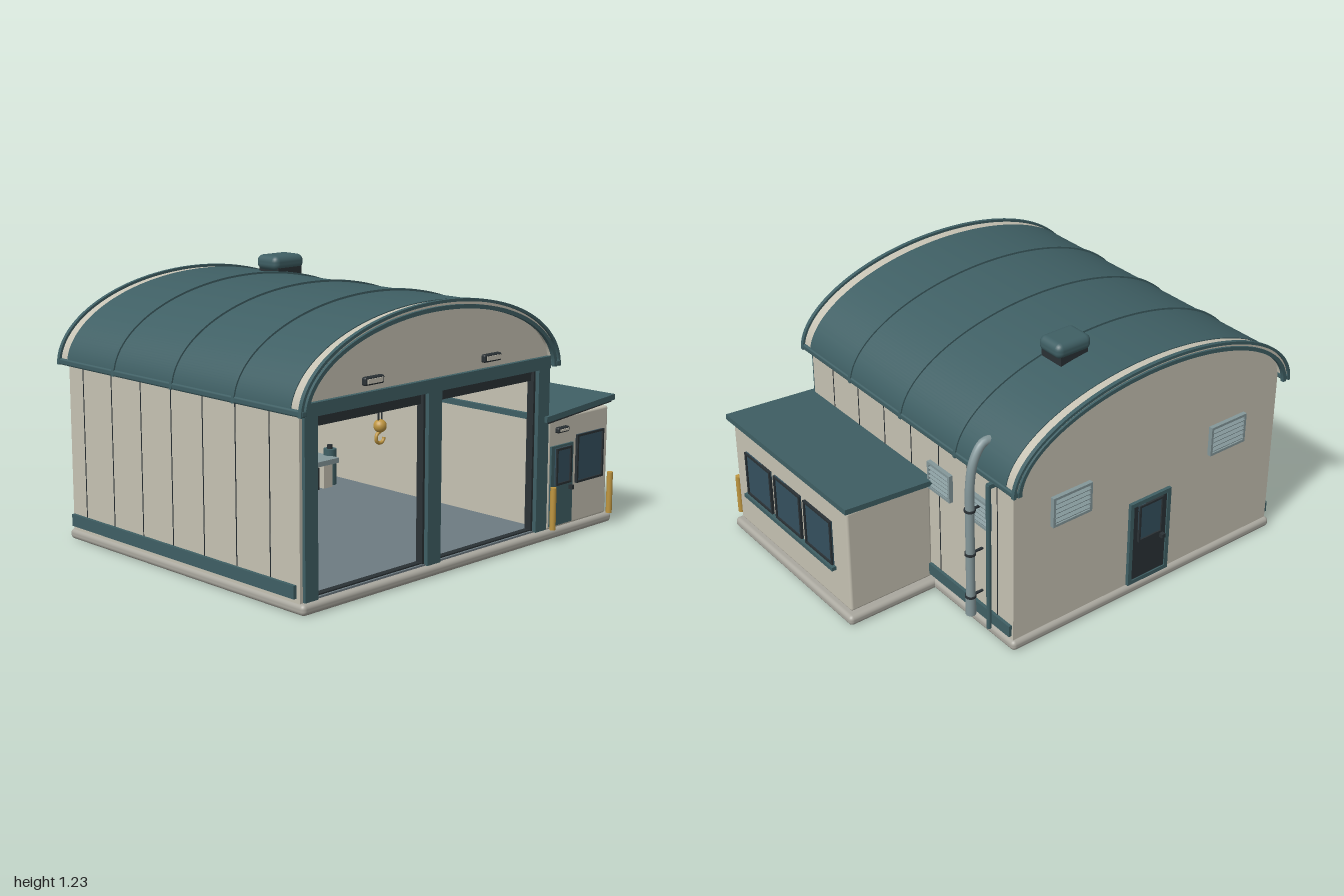
import * as THREE from 'three';
import { toCreasedNormals } from 'three/addons/utils/BufferGeometryUtils.js';
import { RoundedBoxGeometry } from 'three/addons/geometries/RoundedBoxGeometry.js';

const mat = (color) => new THREE.MeshStandardMaterial({ color });
const TEAL = mat(0x3f5f64), CREAM = mat(0xc6c2b3), DARK = mat(0x2a3135), YELLOW = mat(0xbf9640),
  GLASS = mat(0x34505e), STONE = mat(0xaaa89f), FLOOR = mat(0x6d7b82), PIPE = mat(0x84979a);
const CX = -0.215, EAVE = 0.8; // hall centre line and springing height of the arch

function add(parent, name, geometry, material) {
  const mesh = new THREE.Mesh(geometry, material);
  mesh.name = name;
  parent.add(mesh);
  return mesh;
}

// Box from its limits, optionally with rounded edges
function box(parent, name, material, x0, x1, y0, y1, z0, z1, r = 0) {
  const size = [x1 - x0, y1 - y0, z1 - z0];
  const geo = r ? new RoundedBoxGeometry(...size, 3, r) : new THREE.BoxGeometry(...size);
  const mesh = add(parent, name, geo, material);
  mesh.position.set((x0 + x1) / 2, (y0 + y1) / 2, (z0 + z1) / 2);
  return mesh;
}

function post(parent, name, material, x, z, y0, y1, r) {
  const mesh = add(parent, name, new THREE.CylinderGeometry(r, r, y1 - y0, 20), material);
  mesh.position.set(x, (y0 + y1) / 2, z);
  return mesh;
}

function extrude(parent, name, material, shape, z0, z1) {
  const geo = new THREE.ExtrudeGeometry(shape, { depth: z1 - z0, bevelEnabled: false, curveSegments: 56 });
  return add(parent, name, toCreasedNormals(geo.translate(0, 0, z0), 0.5), material);
}

// Half-elliptical band over the hall, a x b outside, t thick
function arch(parent, name, material, a, b, t, z0, z1) {
  const s = new THREE.Shape();
  s.absellipse(CX, EAVE, a, b, 0, Math.PI, false);
  s.absellipse(CX, EAVE, a - t, b - t, Math.PI, 0, true);
  return extrude(parent, name, material, s, z0, z1);
}

// Group whose local +z is turned outward from a wall
function mount(parent, name, x, y, z, turn = 0) {
  const g = new THREE.Group();
  g.name = name;
  g.position.set(x, y, z);
  g.rotation.y = turn;
  parent.add(g);
  return g;
}

function frame(g, w, h, t, depth, material) {
  const s = new THREE.Shape([[-w, -h], [w, -h], [w, h], [-w, h]].map(([x, y]) => new THREE.Vector2(x / 2, y / 2)));
  const [a, b] = [w / 2 - t, h / 2 - t];
  s.holes.push(new THREE.Path([[-a, -b], [-a, b], [a, b], [a, -b]].map(([x, y]) => new THREE.Vector2(x, y))));
  extrude(g, 'frame', material, s, -0.01, depth);
}

function windowPane(parent, x, y, z, w, h, turn = 0) {
  const g = mount(parent, 'window', x, y, z, turn);
  frame(g, w, h, 0.01, 0.013, DARK);
  box(g, 'glass', GLASS, -w / 2, w / 2, -h / 2, h / 2, -0.008, 0.006);
}

function louvre(parent, x, y, z, w, h, turn) {
  const g = mount(parent, 'louvreVent', x, y, z, turn);
  frame(g, w, h, 0.012, 0.02, PIPE);
  box(g, 'ventBack', DARK, -w / 2 + 0.01, w / 2 - 0.01, -h / 2 + 0.01, h / 2 - 0.01, -0.008, 0.003);
  for (let i = 0; i < 5; i++) {
    const yy = (i - 2) * (h - 0.03) / 5;
    box(g, 'slat', PIPE, -w / 2 + 0.01, w / 2 - 0.01, yy - 0.003, yy + 0.003, 0, 0.022).rotation.x = 0.5;
  }
}

function lamp(parent, x, y, z, w, h) {
  const g = mount(parent, 'wallLamp', x, y, z);
  box(g, 'lampHousing', DARK, -w / 2, w / 2, -h / 2, h / 2, -0.01, 0.02, 0.008);
  box(g, 'lampLens', CREAM, -w / 2 + 0.012, w / 2 - 0.012, -h / 2 + 0.008, h / 2 - 0.008, 0, 0.024);
}

function door(parent, x, y0, z, w, h, material, turn) {
  const g = mount(parent, 'door', x, y0 + h / 2, z, turn);
  box(g, 'doorLeaf', material, -w / 2, w / 2, -h / 2, h / 2, -0.01, 0.01);
  windowPane(g, 0, h * 0.24, 0.01, w * 0.7, h * 0.46);
  box(g, 'handle', DARK, w * 0.32, w * 0.42, -0.03, -0.01, 0, 0.03);
  return g;
}

function workbench(parent, x) {
  const g = mount(parent, 'workbench', x, 0, 0);
  box(g, 'benchTop', PIPE, -0.225, 0.225, 0.18, 0.205, -0.7, -0.42);
  for (const s of [-1, 1]) box(g, 'benchLeg', CREAM, s * 0.18 - 0.03, s * 0.18 + 0.03, 0.055, 0.18, -0.68, -0.45);
  box(g, 'drawerCabinet', DARK, -0.12, 0.11, 0.06, 0.17, -0.68, -0.44);
  for (let i = 0; i < 3; i++) box(g, 'drawer', PIPE, -0.1, 0.09, 0.075 + i * 0.032, 0.097 + i * 0.032, -0.45, -0.435);
  box(g, 'toolBoard', TEAL, -0.21, 0.19, 0.255, 0.445, -0.735, -0.715);
  for (let i = 0; i < 6; i++) box(g, 'peg', DARK, -0.153 + i * 0.055, -0.147 + i * 0.055, 0.377, 0.383, -0.72, -0.7);
  // coiled hose, drawn to a point at its hanging peg
  const loop = new THREE.CatmullRomCurve3([[0, 0.07], [0.04, 0.03], [0.055, -0.015], [0.03, -0.06], [0, -0.068],
    [-0.03, -0.06], [-0.055, -0.015], [-0.04, 0.03]].map(([u, v]) => new THREE.Vector3(0.13 + u, 0.315 + v, -0.7)), true);
  add(g, 'hose', new THREE.TubeGeometry(loop, 48, 0.007, 8, true), DARK);
}

function gasBottle(parent, x) {
  post(parent, 'gasBottle', TEAL, x, -0.5, 0.055, 0.235, 0.033);
  post(parent, 'bottleValve', DARK, x, -0.5, 0.235, 0.255, 0.014);
}

function buildHall(root) {
  const hall = mount(root, 'hall', 0, 0, 0);
  box(hall, 'hallSlab', STONE, -0.98, 0.55, 0, 0.048, -0.775, 0.77, 0.02);
  box(hall, 'hallFloor', FLOOR, -0.96, 0.53, 0.03, 0.056, -0.75, 0.74);
  box(hall, 'leftWall', CREAM, -0.97, -0.95, 0.045, 0.82, -0.75, 0.74);
  box(hall, 'rightWall', CREAM, 0.515, 0.535, 0.045, 0.82, -0.75, 0.74);

  // gables: back wall runs to the ground, front one stops at the header
  const gable = (y0) => {
    const s = new THREE.Shape();
    s.moveTo(-0.965, y0);
    s.lineTo(0.535, y0);
    s.absellipse(CX, EAVE, 0.75, 0.345, 0, Math.PI, false);
    return s;
  };
  extrude(hall, 'backWall', CREAM, gable(0.045), -0.755, -0.735);
  extrude(hall, 'frontGable', CREAM, gable(0.79), 0.72, 0.74);

  // wall seams and plinths
  for (const x of [-0.97, 0.535]) {
    for (let i = 0; i < 7; i++) box(hall, 'wallSeam', DARK, x - 0.002, x + 0.002, 0.12, 0.81, 0.568 - i * 0.203, 0.572 - i * 0.203);
    box(hall, 'plinth', TEAL, x - 0.015, x + 0.015, 0.065, 0.12, -0.745, x < 0 ? 0.72 : -0.17);
  }

  // arched roof with cream verges, rims and ribs
  arch(hall, 'roofVerge', CREAM, 0.774, 0.36, 0.018, -0.79, 0.77);
  arch(hall, 'roofSheet', TEAL, 0.778, 0.364, 0.012, -0.735, 0.715);
  for (const z of [-0.8, 0.765]) {
    arch(hall, 'roofRim', TEAL, 0.785, 0.372, 0.013, z, z + 0.018);
    arch(hall, 'innerRim', TEAL, 0.76, 0.347, 0.018, z, z + 0.018);
  }
  for (const z of [0.384, -0.005, -0.397]) arch(hall, 'roofRib', TEAL, 0.785, 0.373, 0.014, z - 0.008, z + 0.008);
  for (const s of [-1, 1]) box(hall, 'eaveGutter', TEAL, CX + s * 0.767 - 0.016, CX + s * 0.767 + 0.016, 0.8, 0.828, -0.797, 0.785, 0.008);

  // roof ventilator
  box(hall, 'ventilatorBase', DARK, -0.035, 0.11, 1.11, 1.18, -0.53, -0.4);
  box(hall, 'ventilatorHood', TEAL, -0.055, 0.13, 1.162, 1.232, -0.538, -0.395, 0.03);

  // front portal: posts, header, shutter box and jambs
  for (const [a, b] of [[-0.955, -0.885], [-0.255, -0.175], [0.455, 0.53]]) {
    box(hall, 'portalPost', TEAL, a, b, 0.05, 0.8, 0.69, 0.755);
    box(hall, 'doorJamb', DARK, a - (a < -0.9 ? 0 : 0.012), b + (b > 0.5 ? 0 : 0.012), 0.05, 0.8, 0.7, 0.735);
  }
  box(hall, 'portalHeader', TEAL, -0.96, 0.53, 0.79, 0.845, 0.69, 0.76);
  box(hall, 'shutterBox', DARK, -0.89, 0.46, 0.74, 0.795, 0.66, 0.72);
  box(hall, 'threshold', DARK, -0.89, 0.46, 0.05, 0.062, 0.7, 0.73);
  for (const x of [-0.575, 0.14]) lamp(hall, x, 0.887, 0.74, 0.11, 0.035);

  // louvres and back door
  for (const z of [-0.26, -0.53]) louvre(hall, 0.535, 0.6, z, 0.16, 0.135, Math.PI / 2);
  for (const x of [0.235, -0.66]) louvre(hall, x, 0.625, -0.755, 0.21, 0.145, Math.PI);
  const back = door(hall, -0.215, 0.06, -0.755, 0.2, 0.41, DARK, Math.PI);
  frame(back, 0.235, 0.43, 0.02, 0.016, TEAL);

  // exhaust duct bending into the roof, and the downpipe
  const path = new THREE.CatmullRomCurve3([[0.47, 0.93], [0.53, 0.93], [0.578, 0.86], [0.598, 0.75], [0.6, 0.6], [0.6, 0.35], [0.6, 0.1]]
    .map(([x, y]) => new THREE.Vector3(x, y, -0.545)));
  add(hall, 'exhaustDuct', new THREE.TubeGeometry(path, 60, 0.02, 16), PIPE);
  post(hall, 'ductFoot', PIPE, 0.6, -0.545, 0.095, 0.19, 0.023);
  for (const y of [0.19, 0.41, 0.63]) {
    post(hall, 'ductClamp', DARK, 0.6, -0.545, y - 0.005, y + 0.005, 0.025);
    box(hall, 'clampArm', DARK, 0.53, 0.6, y - 0.004, y + 0.004, -0.55, -0.54);
  }
  post(hall, 'downpipe', TEAL, 0.587, -0.655, 0.08, 0.805, 0.011);
  box(hall, 'downpipeElbow', TEAL, 0.54, 0.59, 0.79, 0.81, -0.665, -0.645);
}

function buildInterior(root) {
  const inside = mount(root, 'workshopInterior', 0, 0, 0);
  for (const x of [-0.56, 0.15]) workbench(inside, x);
  for (const x of [-0.82, 0.39]) gasBottle(inside, x);
  // overhead crane
  box(inside, 'craneBeam', YELLOW, -0.95, 0.515, 0.71, 0.745, 0.22, 0.28);
  box(inside, 'craneTrolley', DARK, -0.08, 0.03, 0.675, 0.725, 0.2, 0.3, 0.01);
  for (const x of [-0.035, -0.015]) post(inside, 'hoistCable', DARK, x, 0.25, 0.54, 0.68, 0.004);
  const block = add(inside, 'hookBlock', new THREE.SphereGeometry(0.03, 20, 14), YELLOW);
  block.position.set(-0.025, 0.535, 0.25);
  const hook = add(inside, 'craneHook', new THREE.TorusGeometry(0.025, 0.008, 10, 28, Math.PI * 1.5), YELLOW);
  hook.position.set(-0.025, 0.482, 0.25);
  hook.rotation.z = Math.PI / 2;
}

function buildOffice(root) {
  const office = mount(root, 'office', 0, 0, 0);
  box(office, 'officeSlab', STONE, 0.48, 0.997, 0, 0.048, -0.21, 0.77, 0.02);
  box(office, 'officeWalls', CREAM, 0.532, 0.965, 0.045, 0.558, -0.17, 0.755, 0.012);
  // lean-to roof rising outward
  const slope = (y, t, x0, x1) => new THREE.Shape([[x0, y], [x1, y + 0.035], [x1, y + 0.035 + t], [x0, y + t]]
    .map(([a, b]) => new THREE.Vector2(a, b)));
  extrude(office, 'officeRoof', TEAL, slope(0.548, 0.026, 0.5, 0.992), -0.205, 0.77);
  extrude(office, 'roofSoffit', DARK, slope(0.538, 0.015, 0.52, 0.98), -0.19, 0.76);
  // front door, lamp and windows
  door(office, 0.622, 0.06, 0.755, 0.155, 0.37, TEAL, 0);
  lamp(office, 0.618, 0.5, 0.755, 0.08, 0.026);
  windowPane(office, 0.825, 0.345, 0.755, 0.195, 0.225);
  for (const z of [0.548, 0.303, 0.057]) windowPane(office, 0.965, 0.345, z, 0.215, 0.225, Math.PI / 2);
  box(office, 'windowSill', TEAL, 0.955, 0.988, 0.212, 0.23, -0.065, 0.67);
  for (const x of [0.535, 0.95]) post(office, 'bollard', YELLOW, x, 0.787, 0.055, 0.25, 0.014);
}

export function createModel() {
  const root = new THREE.Group();
  root.name = 'workshopBuilding';
  buildHall(root);
  buildInterior(root);
  buildOffice(root);
  return root;
}
